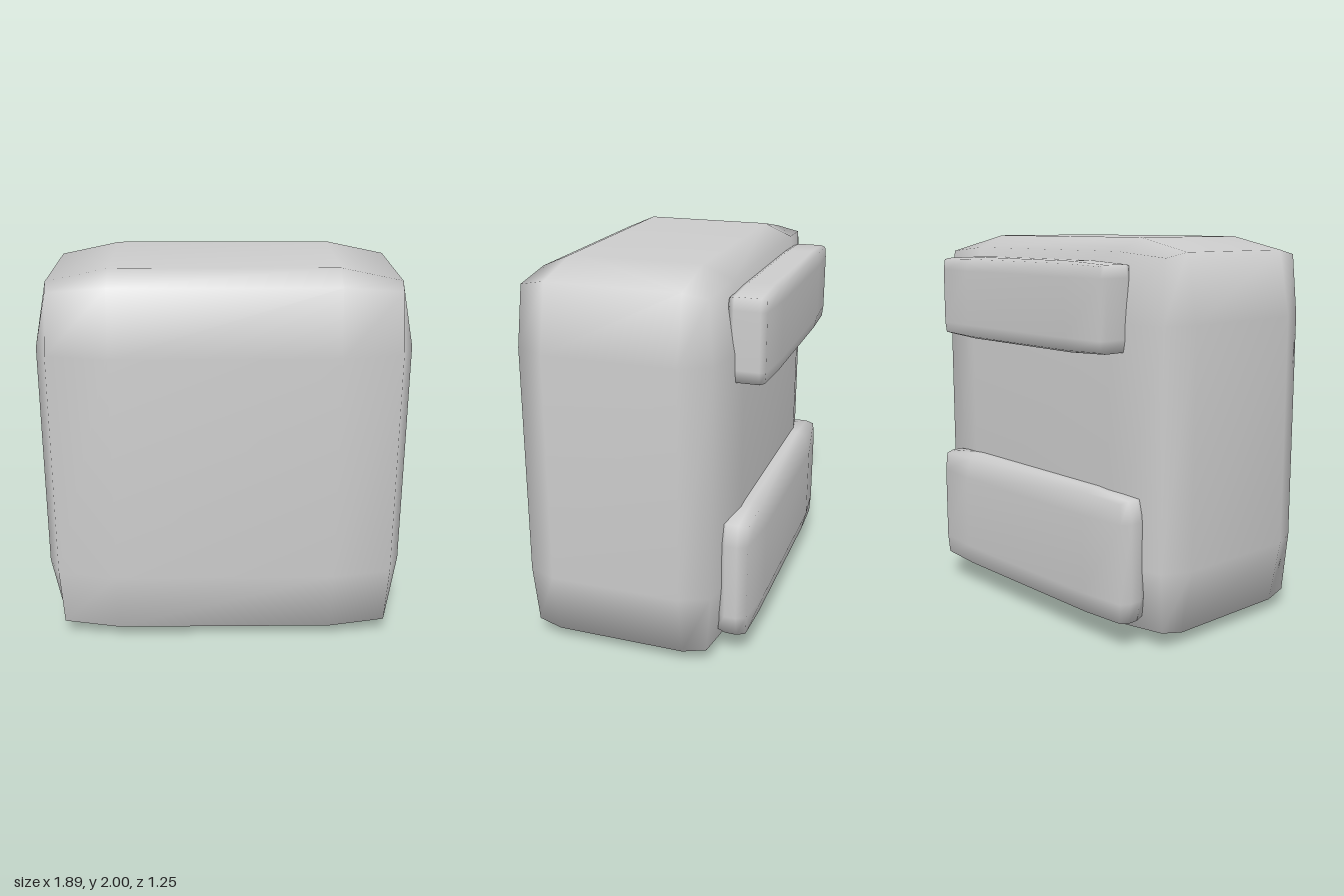
import * as THREE from 'three';
import { mergeVertices } from 'three/addons/utils/BufferGeometryUtils.js';

// Pillow-like box: each axis gives [half size, edge, corner, inner ring] distances from the centre.
function softBox(name, material, center, axes) {
  const box = new THREE.BoxGeometry(2, 2, 2, 3, 3, 3);
  box.deleteAttribute('normal');
  box.deleteAttribute('uv');
  const geometry = mergeVertices(box);
  const pos = geometry.attributes.position;
  for (let i = 0; i < pos.count; i++) {
    const p = [pos.getX(i), pos.getY(i), pos.getZ(i)];
    const outer = p.filter((v) => Math.abs(v) > 0.9).length; // 1 face, 2 edge, 3 corner
    const q = p.map((v, k) => {
      const distance = Math.abs(v) > 0.9 ? axes[k][outer - 1] : axes[k][3];
      return Math.sign(v) * distance + center[k];
    });
    pos.setXYZ(i, ...q);
  }
  geometry.computeVertexNormals();
  const mesh = new THREE.Mesh(geometry, material);
  mesh.name = name;
  return mesh;
}

export function createModel() {
  const group = new THREE.Group();
  group.name = 'softCase';
  const grey = new THREE.MeshStandardMaterial({ color: 0xcccccc });
  grey.name = 'lightGrey';

  // Main body
  group.add(softBox('body', grey, [0, 1, 0.07], [
    [0.945, 0.88, 0.865, 0.57],
    [1, 0.935, 0.91, 0.6],
    [0.55, 0.49, 0.465, 0.34],
  ]));

  // Upper pad on the back
  group.add(softBox('upperBackPad', grey, [0, 1.67, -0.515], [
    [0.665, 0.655, 0.65, 0.41],
    [0.22, 0.208, 0.2, 0.145],
    [0.11, 0.095, 0.09, 0.065],
  ]));

  // Lower pad on the back
  group.add(softBox('lowerBackPad', grey, [0, 0.45, -0.49], [
    [0.78, 0.755, 0.745, 0.5],
    [0.33, 0.31, 0.3, 0.2],
    [0.107, 0.08, 0.075, 0.03],
  ]));

  return group;
}
